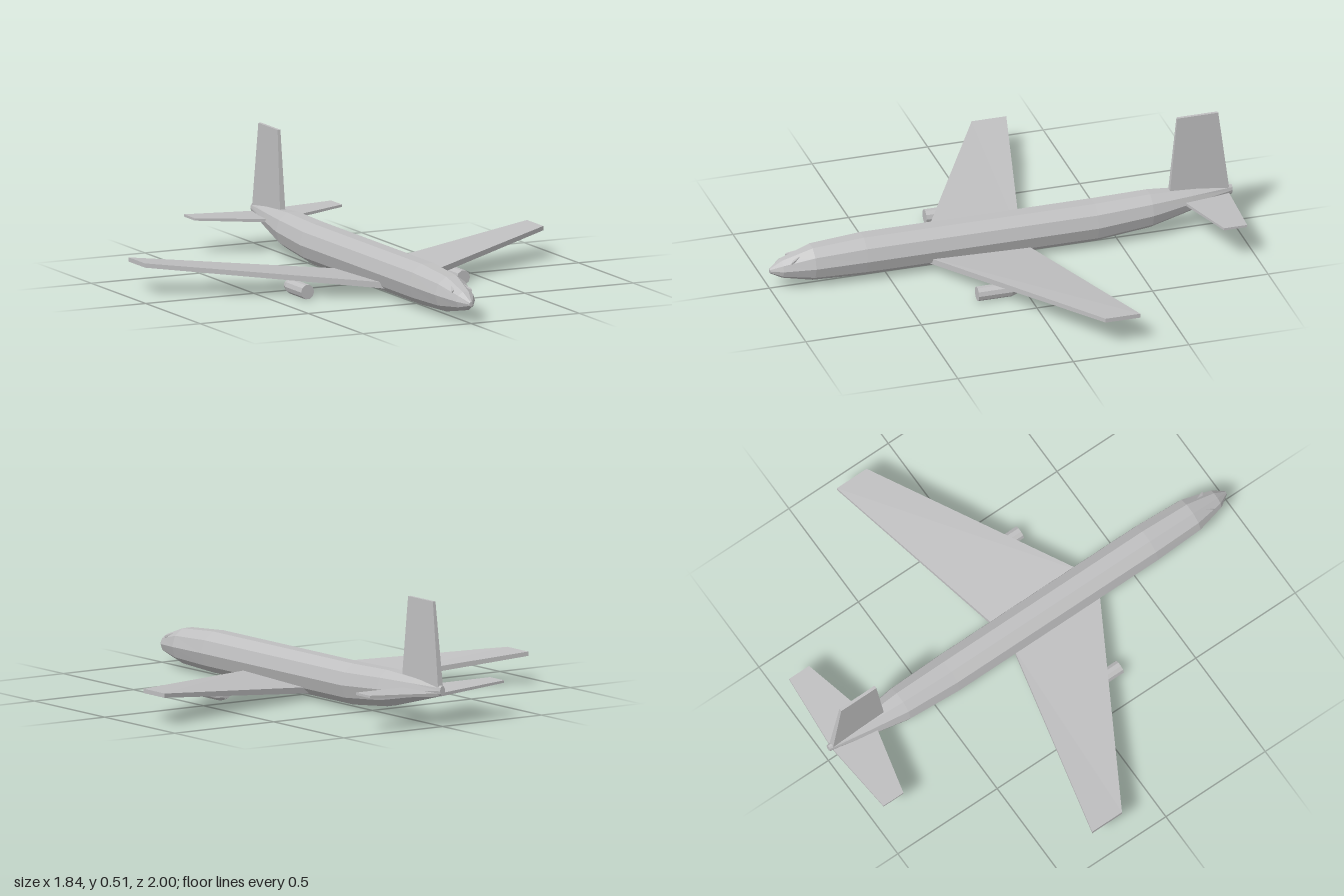
import * as THREE from 'three';

const grey = new THREE.MeshStandardMaterial({ color: 0xbfbfc0, flatShading: true });
grey.name = 'airframe grey';

const lerp = THREE.MathUtils.lerp;

function part(name, geometry) {
  const flat = geometry.index ? geometry.toNonIndexed() : geometry;
  flat.computeVertexNormals();
  const mesh = new THREE.Mesh(flat, grey);
  mesh.name = name;
  return mesh;
}

// Ten-sided loft through rings of [z, centre y, half width, half height], tail to nose
function loft(rings, sides = 10) {
  const pos = [], idx = [];
  for (const [z, y, rx, ry] of rings) {
    for (let i = 0; i < sides; i++) {
      const a = ((i + 0.5) / sides) * Math.PI * 2 - Math.PI / 2;
      pos.push(Math.cos(a) * rx, y + Math.sin(a) * ry, z);
    }
  }
  const last = (rings.length - 1) * sides;
  for (let r = 0; r < rings.length - 1; r++) {
    for (let i = 0; i < sides; i++) {
      const a = r * sides + i, b = r * sides + (i + 1) % sides;
      idx.push(a, b, b + sides, a, b + sides, a + sides);
    }
  }
  for (let i = 1; i < sides - 1; i++) {
    idx.push(0, i + 1, i, last, last + i, last + i + 1);
  }
  const g = new THREE.BufferGeometry();
  g.setAttribute('position', new THREE.Float32BufferAttribute(pos, 3));
  g.setIndex(idx);
  return g;
}

// Tapered panel between two chords; each gives span, front/back z, front/back y, thickness
function panel(root, tip, side = 1) {
  const g = new THREE.BoxGeometry(1, 1, 1);
  const p = g.attributes.position;
  for (let i = 0; i < p.count; i++) {
    const u = 0.5 + p.getX(i) * side, v = p.getY(i), w = p.getZ(i) + 0.5;
    const at = (c) => [c.x, lerp(c.yBack, c.yFront, w) + v * c.t, lerp(c.back, c.front, w)];
    const a = at(root), b = at(tip);
    p.setXYZ(i, side * lerp(a[0], b[0], u), lerp(a[1], b[1], u), lerp(a[2], b[2], u));
  }
  return g;
}

export function createModel() {
  const model = new THREE.Group();
  model.name = 'airliner';

  // Fuselage
  model.add(part('fuselage', loft([
    [-1.0, 0.15, 0.013, 0.021],
    [-0.82, 0.133, 0.047, 0.051],
    [-0.64, 0.116, 0.077, 0.08],
    [-0.4, 0.101, 0.087, 0.09],
    [0.6, 0.101, 0.087, 0.09],
    [0.82, 0.097, 0.077, 0.077],
    [0.95, 0.088, 0.043, 0.041],
    [1.0, 0.082, 0.008, 0.01],
  ])));

  for (const side of [1, -1]) {
    const label = side > 0 ? 'left' : 'right';

    // Swept main wing
    model.add(part(label + 'Wing', panel(
      { x: 0.04, front: 0.335, back: -0.1, yFront: 0.05, yBack: 0.036, t: 0.026 },
      { x: 0.92, front: -0.165, back: -0.315, yFront: 0.126, yBack: 0.126, t: 0.018 }, side)));

    // Tailplane
    model.add(part(label + 'Tailplane', panel(
      { x: 0.005, front: -0.775, back: -0.985, yFront: 0.132, yBack: 0.132, t: 0.014 },
      { x: 0.34, front: -0.86, back: -0.96, yFront: 0.152, yBack: 0.152, t: 0.01 }, side)));

    // Engine pod with tapered rear
    const engine = part(label + 'Engine', loft([
      [0.035, 0.032, 0.02, 0.02],
      [0.07, 0.031, 0.03, 0.031],
      [0.215, 0.031, 0.03, 0.031],
    ]));
    engine.position.x = side * 0.36;
    model.add(engine);

    // Small raised cockpit window frame
    const frame = part(label + 'CockpitFrame', panel(
      { x: 0.022, front: 0.9, back: 0.862, yFront: 0.131, yBack: 0.146, t: 0.008 },
      { x: 0.045, front: 0.918, back: 0.908, yFront: 0.122, yBack: 0.127, t: 0.008 }, side));
    model.add(frame);
  }

  // Tail fin, made flat and turned upright
  model.add(part('tailFin', panel(
    { x: 0.14, front: -0.725, back: -0.988, yFront: 0, yBack: 0, t: 0.026 },
    { x: 0.516, front: -0.763, back: -0.94, yFront: 0, yBack: 0, t: 0.013 }).rotateZ(Math.PI / 2)));

  return model;
}
